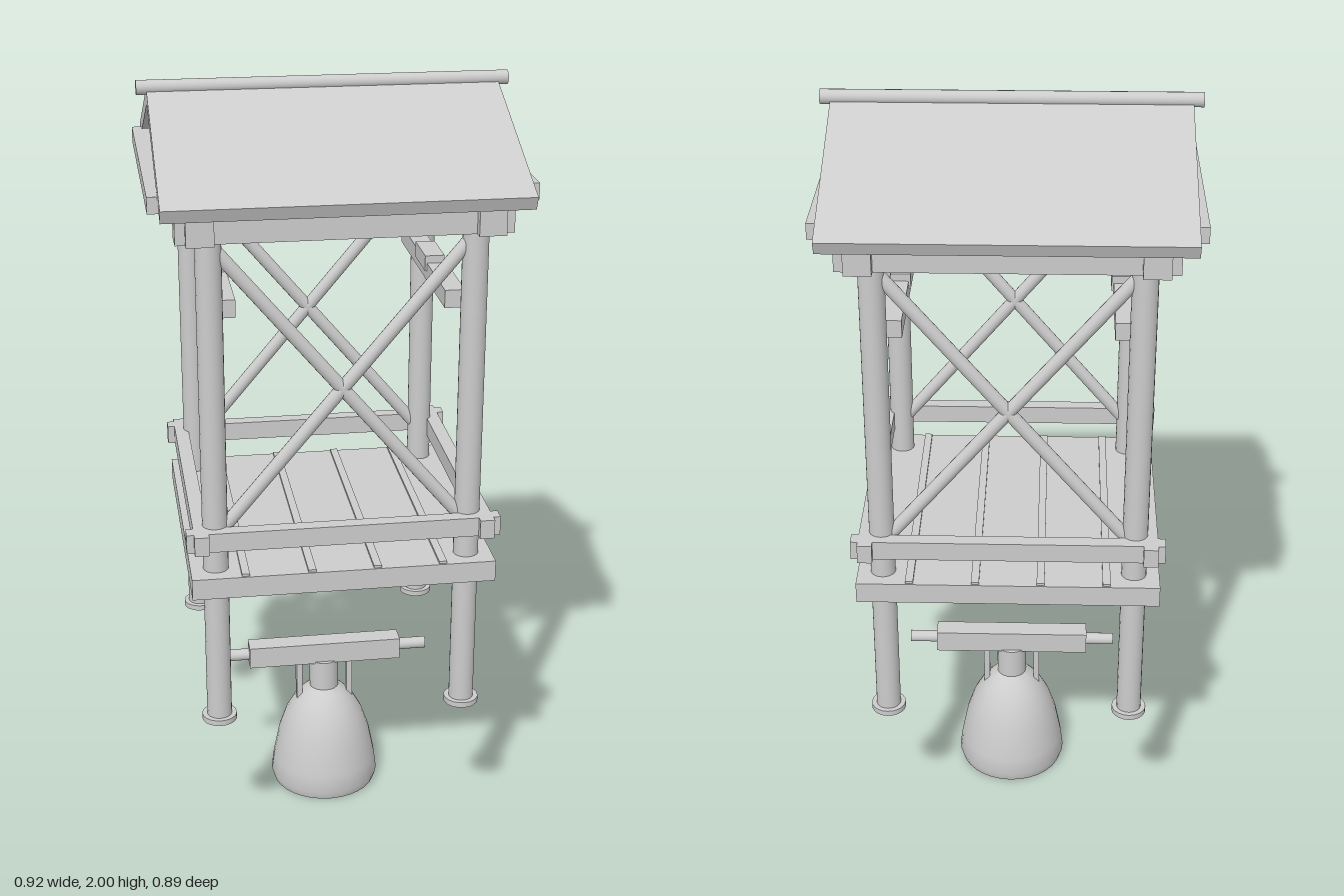
import * as THREE from 'three';
import { toCreasedNormals } from 'three/addons/utils/BufferGeometryUtils.js';

export function createModel() {
  const model = new THREE.Group();
  model.name = 'bellTower';
  const grey = new THREE.MeshStandardMaterial({ color: 0xcccccc });
  grey.name = 'plainGrey';

  const add = (name, geometry, x = 0, y = 0, z = 0) => {
    const mesh = new THREE.Mesh(geometry, grey);
    mesh.name = name;
    mesh.position.set(x, y, z);
    model.add(mesh);
    return mesh;
  };
  const box = (name, w, h, d, x, y, z) => add(name, new THREE.BoxGeometry(w, h, d), x, y, z);
  const post = (name, r, y0, y1, x, z) =>
    add(name, new THREE.CylinderGeometry(r, r, y1 - y0, 20), x, (y0 + y1) / 2, z);
  // Round bar between two points
  const bar = (name, r, a, b) => {
    const dir = b.clone().sub(a);
    const mesh = add(name, new THREE.CylinderGeometry(r, r, dir.length(), 16));
    mesh.position.copy(a).add(b).multiplyScalar(0.5);
    mesh.quaternion.setFromUnitVectors(new THREE.Vector3(0, 1, 0), dir.normalize());
  };
  const v = (x, y, z) => new THREE.Vector3(x, y, z);
  const sides = [-1, 1];

  // Posts with foot discs
  for (const sx of sides) for (const sz of sides) {
    post('post', 0.032, 0.41, 1.72, sx * 0.32, sz * 0.32);
    post('postFoot', 0.045, 0.4, 0.415, sx * 0.32, sz * 0.32);
  }

  // Beams, rails, braces and roof repeated on opposite sides
  const slope = Math.atan2(0.186, 0.447);
  const roofLength = 0.484, roofThickness = 0.035;
  for (const s of sides) {
    box('topBeamAcross', 0.8, 0.072, 0.066, 0, 1.728, s * 0.343);
    box('topBeamDeep', 0.066, 0.072, 0.8, s * 0.343, 1.728, 0);
    box('railAcross', 0.79, 0.05, 0.037, 0, 0.93, s * 0.358);
    box('railDeep', 0.037, 0.05, 0.79, s * 0.358, 0.93, 0);
    box('gableTie', 0.06, 0.04, 0.72, s * 0.43, 1.785, 0);

    box('sideBar', 0.05, 0.045, 0.58, s * 0.28, 1.506, 0);
    box('sideBarBlock', 0.05, 0.04, 0.13, s * 0.275, 1.528, 0);

    bar('crossBrace', 0.017, v(-0.32, 1.68, s * 0.32), v(0.32, 0.92, s * 0.32));
    bar('crossBrace', 0.017, v(0.32, 1.68, s * 0.32), v(-0.32, 0.92, s * 0.32));

    // Sloping panel hung from the ridge
    const panel = new THREE.BoxGeometry(0.87, roofThickness, roofLength);
    panel.translate(0, -roofThickness / 2, s * roofLength / 2);
    add('roofPanel', panel, 0, 1.98, 0).rotation.x = s * slope;
  }
  bar('ridgePole', 0.018, v(-0.46, 1.982, 0), v(0.46, 1.982, 0));

  // Platform with raised strips
  box('platform', 0.77, 0.055, 0.77, 0, 0.808, 0);
  for (const x of [-0.25, -0.083, 0.083, 0.25])
    box('platformStrip', 0.02, 0.01, 0.76, x, 0.837, 0);

  // Headstock, axle and straps
  box('headstock', 0.42, 0.06, 0.056, 0, 0.4, 0);
  bar('axle', 0.016, v(-0.285, 0.4, 0), v(0.285, 0.4, 0));
  for (const s of sides) box('bellStrap', 0.016, 0.13, 0.026, s * 0.07, 0.31, 0);
  post('bellNeck', 0.04, 0.28, 0.375, 0, 0);

  // Bell
  const profile = [[0, 0], [0.142, 0], [0.149, 0.022], [0.143, 0.07], [0.127, 0.15],
    [0.108, 0.205], [0.083, 0.25], [0.058, 0.277], [0.036, 0.293], [0, 0.293]]
    .map(([r, y]) => new THREE.Vector2(r, y));
  add('bell', toCreasedNormals(new THREE.LatheGeometry(profile, 32), 0.5));

  return model;
}
